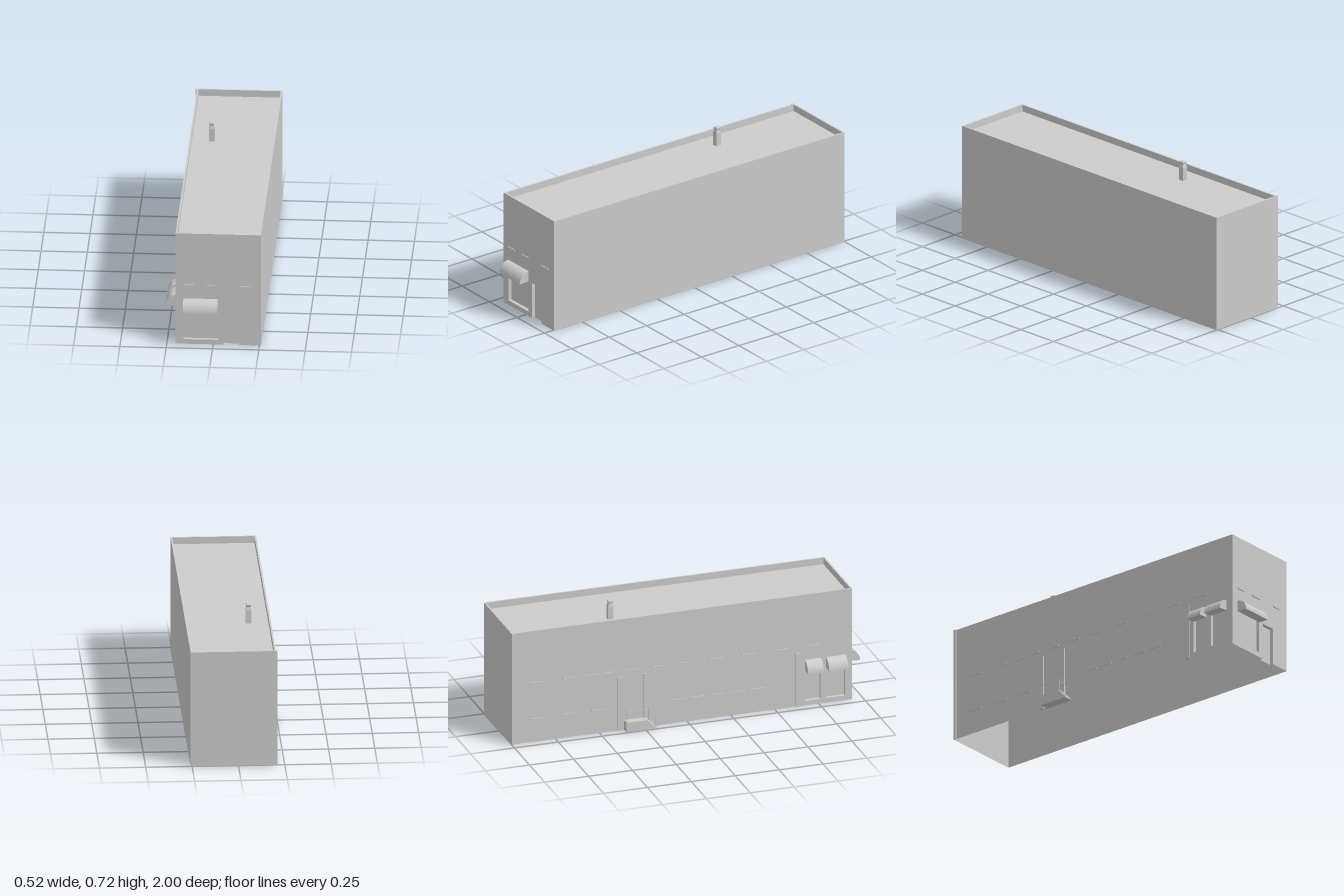
import * as THREE from 'three';

const X0 = -0.203, X1 = 0.258, Z0 = -1, Z1 = 0.94, TOP = 0.648, ROOF = 0.61;

export function createModel() {
  const model = new THREE.Group();
  const grey = new THREE.MeshStandardMaterial({ color: 0xcccccc, side: THREE.DoubleSide });
  grey.name = 'plain grey';

  function add(parent, name, geo, x = 0, y = 0, z = 0) {
    const m = new THREE.Mesh(geo, grey);
    m.name = name;
    m.position.set(x, y, z);
    parent.add(m);
    return m;
  }
  // Box given by its lower and upper corners
  function block(parent, name, a, b) {
    const s = a.map((v, i) => b[i] - v), c = a.map((v, i) => (v + b[i]) / 2);
    return add(parent, name, new THREE.BoxGeometry(...s), ...c);
  }
  function rect(target, x0, y0, x1, y1) {
    target.moveTo(x0, y0);
    target.lineTo(x1, y0);
    target.lineTo(x1, y1);
    target.lineTo(x0, y1);
    target.closePath();
    return target;
  }
  // Facade with recessed openings; local x runs along the wall, z points outward
  function facade(name, x0, x1, openings) {
    const g = new THREE.Group();
    g.name = name;
    model.add(g);
    const shape = new THREE.Shape();
    shape.moveTo(x0, 0);
    for (const [a, b, c, d] of openings) {
      if (b > 0) continue;
      shape.lineTo(a, 0);
      shape.lineTo(a, d);
      shape.lineTo(c, d);
      shape.lineTo(c, 0);
    }
    shape.lineTo(x1, 0);
    shape.lineTo(x1, ROOF);
    shape.lineTo(x0, ROOF);
    shape.closePath();
    for (const [a, b, c, d] of openings) {
      if (b > 0) shape.holes.push(rect(new THREE.Path(), a, b, c, d));
    }
    add(g, name + ' surface', new THREE.ShapeGeometry(shape));
    // Recess: a box without its outer face, and without a floor at ground level
    const depth = 0.02;
    for (const [a, b, c, d] of openings) {
      const box = new THREE.BoxGeometry(c - a, d - b, depth);
      const idx = Array.from(box.index.array);
      box.setIndex(idx.filter((_, i) => !(i >= 24 && i < 30) && !(b === 0 && i >= 18 && i < 24)));
      box.clearGroups();
      add(g, b > 0 ? 'window recess' : 'door recess', box, (a + c) / 2, (b + d) / 2, -depth / 2);
    }
    return g;
  }
  // Quarter-round awning
  function awning(parent, x0, x1, reach) {
    const s = new THREE.Shape();
    s.moveTo(0, 0.207);
    s.lineTo(reach, 0.203);
    s.absellipse(0, 0.203, reach, 0.064, 0, Math.PI / 2, false);
    s.closePath();
    const geo = new THREE.ExtrudeGeometry(s, { depth: x1 - x0, bevelEnabled: false, curveSegments: 12 });
    geo.rotateY(-Math.PI / 2);
    add(parent, 'awning', geo, x1, 0, 0);
  }
  function ledge(parent, x0, x1, y) {
    block(parent, 'ledge', [x0, y, -0.006], [x1, y + 0.008, 0.005]);
  }

  // Front
  const front = facade('front wall', X0, X1, [[-0.16, 0.027, 0.025, 0.267], [0.055, 0, 0.14, 0.208]]);
  front.position.z = Z1;
  awning(front, -0.16, 0.025, 0.06);
  for (const [a, b] of [[-0.16, -0.1], [-0.035, 0.025], [0.14, 0.205]]) ledge(front, a, b, 0.34);

  // Long detailed side, local x equals world z
  const side = facade('right wall', Z0, Z1, [[0.67, 0.027, 0.76, 0.267], [0.79, 0.027, 0.9, 0.267]]);
  side.position.x = X0;
  side.rotation.y = -Math.PI / 2;
  awning(side, 0.67, 0.76, 0.056);
  awning(side, 0.79, 0.9, 0.056);
  const upper = [-0.85, -0.67, -0.54, -0.44, -0.31, -0.165, -0.02, 0.167, 0.35, 0.536, 0.72];
  const lower = [-0.85, -0.67, -0.505, -0.047, 0.056, 0.174, 0.292, 0.403];
  for (const z of upper) ledge(side, z - 0.04, z + 0.04, 0.34);
  for (const z of lower) ledge(side, z - 0.04, z + 0.04, 0.13);
  for (const z of [-0.387, -0.24, 0.63]) {
    block(side, 'pilaster', [z - 0.012, 0, -0.008], [z + 0.012, 0.313, 0.007]);
  }
  block(side, 'corner strip', [Z0, 0, 0], [Z0 + 0.015, TOP, 0.007]);

  // Porch platform and steps descending towards the front
  const steps = 5, rise = 0.057 / steps;
  block(side, 'porch platform', [-0.36, 0, -0.012], [-0.235, 0.057, 0.043]);
  for (let i = 1; i < steps; i++) {
    const z = -0.235 + (i - 1) * 0.011;
    block(side, 'step', [z, 0, -0.012], [z + 0.011, 0.057 - i * rise, 0.043]);
  }
  // Thin handrail around the porch and down the steps
  function bar(a, b) {
    const path = new THREE.LineCurve3(new THREE.Vector3(...a), new THREE.Vector3(...b));
    add(side, 'railing', new THREE.TubeGeometry(path, 1, 0.0015, 6));
  }
  const r = 0.041;
  bar([-0.358, 0.12, 0], [-0.358, 0.12, r]);
  bar([-0.358, 0.12, r], [-0.235, 0.12, r]);
  bar([-0.235, 0.12, r], [-0.193, 0.074, r]);
  bar([-0.358, 0.057, r], [-0.358, 0.12, r]);
  bar([-0.235, 0.057, r], [-0.235, 0.12, r]);
  bar([-0.193, 0.011, r], [-0.193, 0.074, r]);

  // Plain back and left walls
  const back = add(model, 'back wall', new THREE.PlaneGeometry(X1 - X0, ROOF), (X0 + X1) / 2, ROOF / 2, Z0);
  back.rotation.y = Math.PI;
  const left = add(model, 'left wall', new THREE.PlaneGeometry(Z1 - Z0, ROOF), X1, ROOF / 2, (Z0 + Z1) / 2);
  left.rotation.y = Math.PI / 2;

  // Flat roof with a parapet rim
  const roof = add(model, 'roof', new THREE.PlaneGeometry(X1 - X0, Z1 - Z0), (X0 + X1) / 2, ROOF, (Z0 + Z1) / 2);
  roof.rotation.x = -Math.PI / 2;
  const rim = rect(new THREE.Shape(), X0, -Z1, X1, -Z0);
  const t = 0.009;
  rim.holes.push(rect(new THREE.Path(), X0 + t, -Z1 + t, X1 - t, -Z0 - t));
  const rimGeo = new THREE.ExtrudeGeometry(rim, { depth: TOP - ROOF, bevelEnabled: false });
  rimGeo.rotateX(-Math.PI / 2);
  add(model, 'parapet', rimGeo, 0, ROOF, 0);

  // Square chimney with a pinched neck and a flared cap
  const profile = [[0.0155, ROOF], [0.0155, 0.684], [0.01, 0.702], [0.0135, 0.709], [0.0135, 0.714], [0.011, 0.718], [0, 0.718]]
    .map(([w, y]) => new THREE.Vector2(w * Math.SQRT2, y));
  let chimney = new THREE.LatheGeometry(profile, 4, Math.PI / 4).toNonIndexed();
  chimney.computeVertexNormals();
  add(model, 'chimney', chimney, -0.087, 0, -0.4);

  return model;
}
